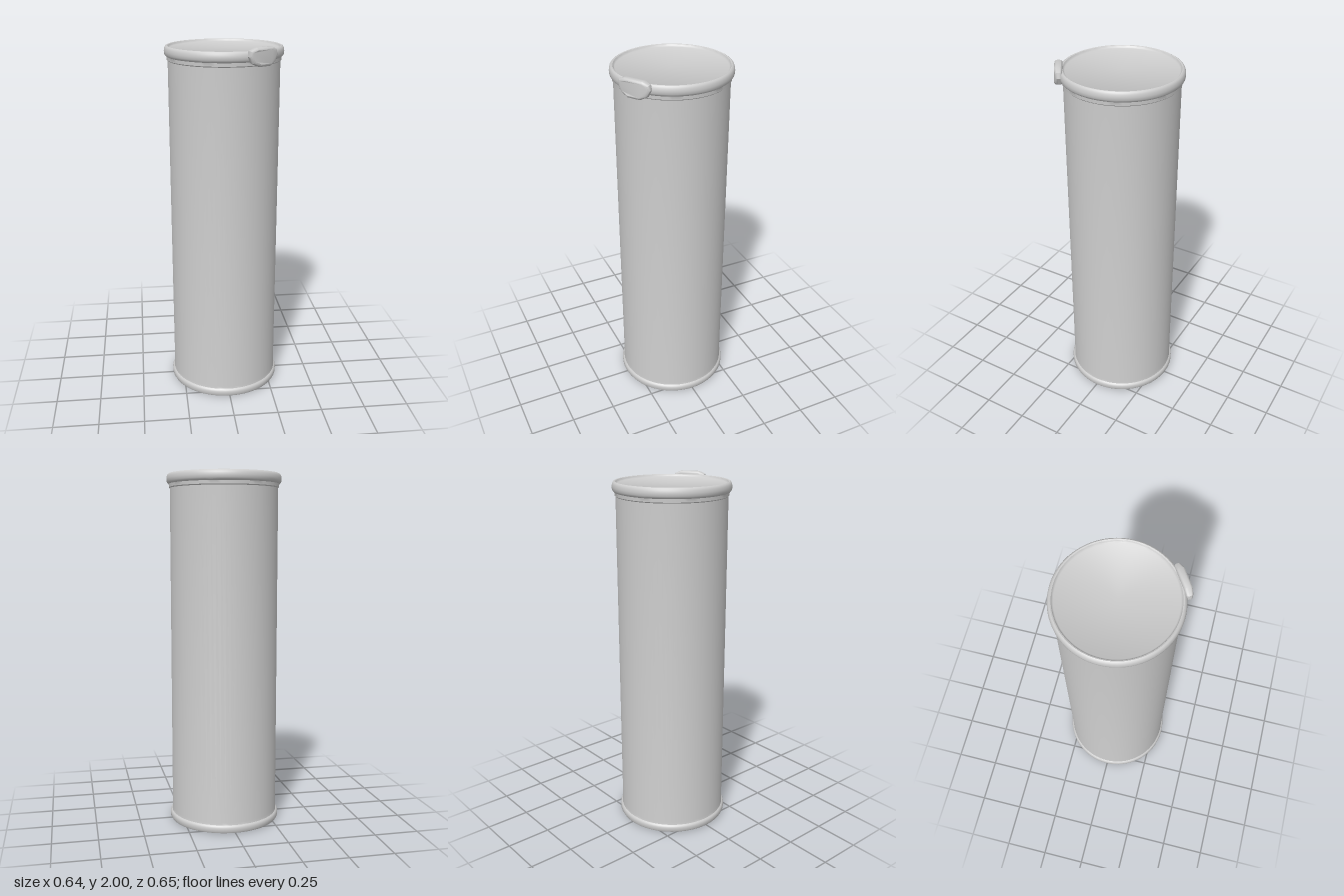
import * as THREE from 'three';
import { toCreasedNormals } from 'three/addons/utils/BufferGeometryUtils.js';

const material = new THREE.MeshStandardMaterial({ color: 0xcccccc });

function part(name, geometry, crease = 0.7) {
  const mesh = new THREE.Mesh(toCreasedNormals(geometry, crease), material);
  mesh.name = name;
  return mesh;
}

// Turned part from [radius, height] points, listed from the bottom centre outwards and up
function turned(name, profile) {
  const points = profile.map(([r, y]) => new THREE.Vector2(r, y));
  return part(name, new THREE.LatheGeometry(points, 72));
}

export function createModel() {
  const model = new THREE.Group();
  model.name = 'canister';

  const can = new THREE.Group();
  can.name = 'can';
  can.position.z = -0.005;
  model.add(can);

  // Recessed base, rolled bottom rim and straight wall
  can.add(turned('body', [
    [0, 0.012], [0.285, 0.012], [0.295, 0.002], [0.303, 0], [0.311, 0.003],
    [0.316, 0.012], [0.316, 0.032], [0.312, 0.041], [0.305, 0.046],
    [0.303, 0.06], [0.303, 1.95],
  ]));

  // Lid with a short skirt, rounded outer bead and shallow sunken panel
  can.add(turned('lid', [
    [0.302, 1.9], [0.308, 1.906], [0.309, 1.924], [0.316, 1.929], [0.321, 1.938],
    [0.322, 1.952], [0.32, 1.966], [0.315, 1.976], [0.308, 1.98], [0.302, 1.978],
    [0.298, 1.97], [0.292, 1.966], [0, 1.966],
  ]));

  // Bevelled pull tab on the front left of the rim
  const outline = [
    [-0.07, 1.93], [-0.035, 1.915], [0.03, 1.915], [0.06, 1.93],
    [0.074, 1.957], [0.07, 1.974], [0.045, 1.985], [-0.055, 1.985], [-0.083, 1.974], [-0.085, 1.957],
  ].map(([x, y]) => new THREE.Vector2(x, y));
  const tabGeometry = new THREE.ExtrudeGeometry(new THREE.Shape(outline), {
    depth: 0.008, bevelEnabled: true, bevelThickness: 0.013, bevelSize: 0.013, bevelSegments: 3,
  });
  // Swell the outer face towards its middle
  const p = tabGeometry.attributes.position;
  for (let i = 0; i < p.count; i++) {
    const fade = Math.max(0, 1 - Math.abs(p.getX(i) + 0.006) / 0.085);
    if (p.getZ(i) > 0.004) p.setZ(i, p.getZ(i) + 0.018 * fade);
  }
  const tab = part('pullTab', tabGeometry, 0.6);
  const turn = new THREE.Group();
  turn.name = 'pullTabMount';
  tab.position.z = 0.311;
  turn.rotation.y = 0.57;
  turn.add(tab);
  model.add(turn);

  return model;
}
